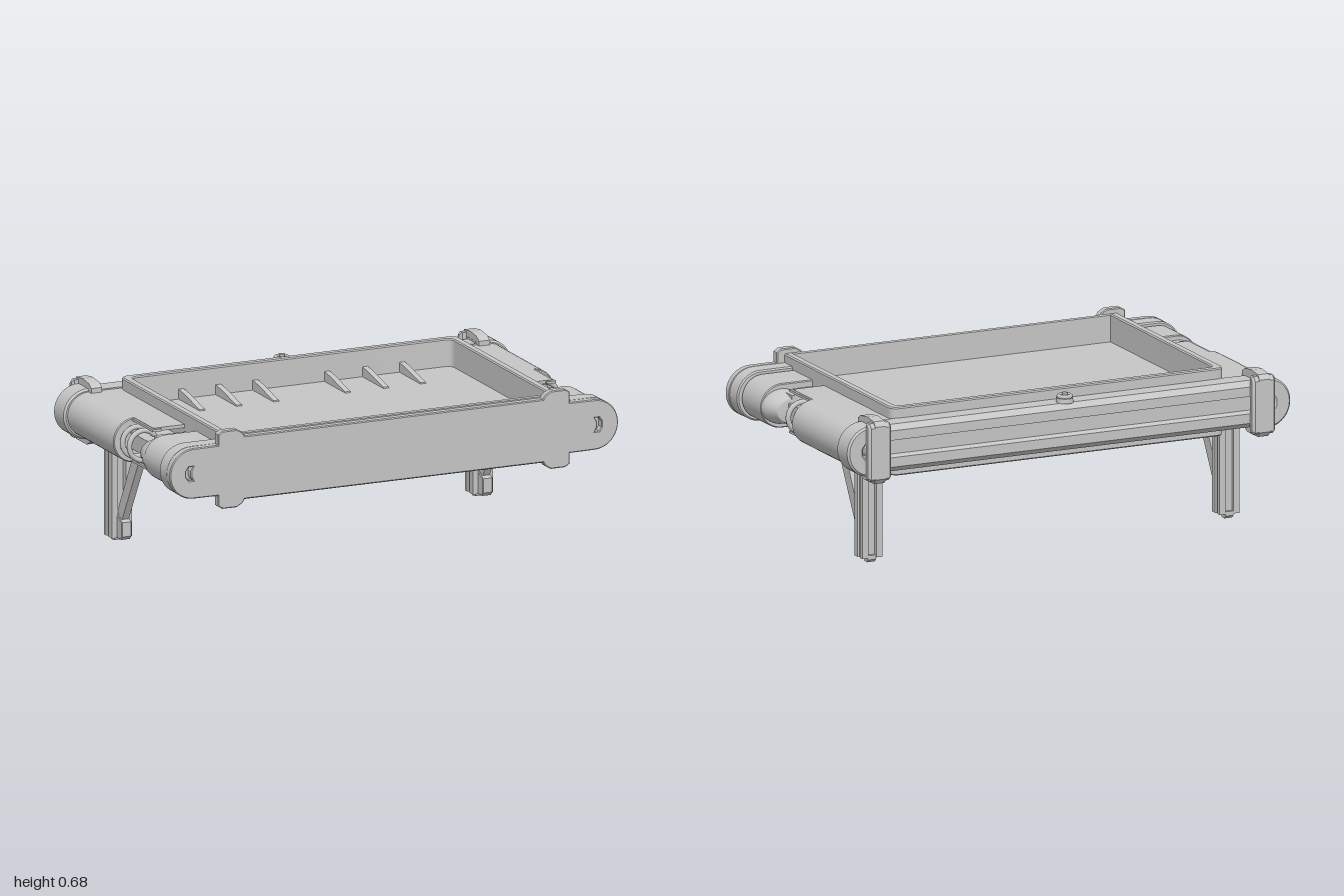
import * as THREE from 'three';
import { toCreasedNormals } from 'three/addons/utils/BufferGeometryUtils.js';

const CY = 0.512; // height of the side tubes' axis

export function createModel() {
  const model = new THREE.Group();
  const grey = new THREE.MeshStandardMaterial({ color: 0xc6c6c6 });
  grey.name = 'grey';

  const add = (name, geo, x = 0, y = 0, z = 0) => {
    const mesh = new THREE.Mesh(geo, grey);
    mesh.name = name;
    mesh.position.set(x, y, z);
    model.add(mesh);
    return mesh;
  };
  // box given by its limits on each axis
  const box = (name, x0, x1, y0, y1, z0, z1) =>
    add(name, new THREE.BoxGeometry(Math.abs(x1 - x0), y1 - y0, z1 - z0), (x0 + x1) / 2, (y0 + y1) / 2, (z0 + z1) / 2);
  // extrusion from depth a to b with inset bevel
  const extrude = (shape, a, b, bevel = 0) => {
    const geo = new THREE.ExtrudeGeometry(shape, {
      depth: b - a - 2 * bevel, bevelEnabled: bevel > 0, bevelSize: bevel, bevelThickness: bevel,
      bevelOffset: -bevel, bevelSegments: 1, curveSegments: 20,
    });
    geo.translate(0, 0, a + bevel);
    return toCreasedNormals(geo, 0.5);
  };
  const poly = (pts) => new THREE.Shape(pts.map(([x, y]) => new THREE.Vector2(x, y)));
  // outward half circle, from bottom to top
  const arc = (s, cx, r) => Array.from({ length: 25 }, (_, i) => {
    const t = -Math.PI / 2 + (Math.PI * i) / 24;
    return [s * (cx + r * Math.cos(t)), CY + r * Math.sin(t)];
  });
  // slot in the round ends
  const crescent = (s) => {
    const p = new THREE.Path();
    p.setFromPoints([[0.895, 0.03], [0.915, 0.028], [0.926, 0.013], [0.926, -0.013], [0.915, -0.028],
      [0.895, -0.03], [0.906, -0.012], [0.906, 0.012]].map(([x, y]) => new THREE.Vector2(s * x, CY + y)));
    return p;
  };
  // block with a flat inner side and a round outer side
  const roundBlock = (name, s, x0, cx, r, z0, z1, bevel, slot) => {
    const shape = poly([[s * x0, CY - r], ...arc(s, cx, r), [s * x0, CY + r]]);
    if (slot) shape.holes.push(crescent(s));
    return add(name, extrude(shape, z0, z1, bevel));
  };
  const roundRect = (x, y0, y1, r) => {
    const s = new THREE.Shape();
    s.moveTo(-x, y0).lineTo(x, y0).lineTo(x, y1 - r);
    s.quadraticCurveTo(x, y1, x - r, y1).lineTo(-x + r, y1);
    s.quadraticCurveTo(-x, y1, -x, y1 - r).lineTo(-x, y0);
    return s;
  };

  // front panel with round ends and four ears
  const ear = [[0.785, 0.106], [0.785, 0.15], [0.765, 0.163], [0.7, 0.163], [0.675, 0.148], [0.665, 0.132]];
  const rev = [...ear].reverse();
  const panel = poly([
    ...rev.map(([x, y]) => [x, CY - y]), ...arc(1, 0.895, 0.105), ...ear.map(([x, y]) => [x, CY + y]),
    ...rev.map(([x, y]) => [-x, CY + y]), ...arc(-1, 0.895, 0.105).reverse(), ...ear.map(([x, y]) => [-x, CY - y]),
  ]);
  panel.holes.push(crescent(1), crescent(-1));
  add('frontPanel', extrude(panel, 0.54, 0.575, 0.004));

  // tray walls and floor
  const walls = roundRect(0.75, -0.545, 0.445, 0.04);
  walls.holes.push(roundRect(0.715, -0.535, 0.41, 0.03));
  add('trayWalls', extrude(walls, 0.37, 0.654, 0.005).rotateX(-Math.PI / 2));
  box('trayFloor', -0.73, 0.73, 0.46, 0.538, -0.43, 0.542);

  // sloping ribs against the rear wall
  const rib = poly([[-0.415, 0.53], [-0.205, 0.53], [-0.21, 0.543], [-0.36, 0.573], [-0.415, 0.58]]);
  for (const x of [-0.49, -0.325, -0.16, 0.16, 0.33, 0.495])
    add('trayRib', extrude(rib, -0.012, 0.012).rotateY(-Math.PI / 2), x);

  // rear beam with a long groove
  const beam = poly([[0.44, 0.61], [0.52, 0.61], [0.543, 0.588], [0.543, 0.548], [0.515, 0.54], [0.515, 0.484],
    [0.543, 0.476], [0.543, 0.436], [0.52, 0.414], [0.44, 0.414]]);
  add('rearBeam', extrude(beam, -0.86, 0.86).rotateY(Math.PI / 2));

  // knob on the beam
  add('knobBase', new THREE.CylinderGeometry(0.034, 0.036, 0.02, 24), 0, 0.618, -0.5);
  add('knobRing', new THREE.TorusGeometry(0.024, 0.009, 10, 24).rotateX(Math.PI / 2), 0, 0.634, -0.5);
  add('knobCentre', new THREE.CylinderGeometry(0.011, 0.011, 0.03, 12), 0, 0.634, -0.5);
  add('knobPointer', new THREE.ConeGeometry(0.018, 0.03, 4).rotateX(Math.PI / 2), 0, 0.62, -0.462);

  // leg cross-section with grooves on all four sides
  const legHalf = [[0.018, 0.33], [0.018, 0.302], [0.045, 0.302], [0.045, 0.333], [0.038, 0.337],
    [0.038, 0.352], [0.045, 0.356], [0.045, 0.375], [0.018, 0.375], [0.018, 0.358]];
  const legSection = poly([...legHalf, ...[...legHalf].reverse().map(([x, y]) => [-x, y])]);

  for (const s of [1, -1]) {
    // side tube sections, rear to front
    roundBlock('rearCap', s, 0.84, 0.893, 0.105, -0.545, -0.44, 0.008, true);
    roundBlock('rearTube', s, 0.74, 0.89, 0.093, -0.45, 0, 0.004);
    roundBlock('frontTube', s, 0.74, 0.89, 0.092, 0.285, 0.462, 0.004);
    roundBlock('tubeNeck', s, 0.74, 0.885, 0.082, 0.45, 0.48, 0);
    roundBlock('frontCap', s, 0.74, 0.893, 0.105, 0.468, 0.545, 0.006);

    // flattened nose in front of the open section
    const nose = new THREE.LatheGeometry([[0, 0], [0.06, 0], [0.066, 0.008], [0.086, 0.065], [0.091, 0.08], [0.091, 0.105]]
      .map(([r, h]) => new THREE.Vector2(r, h)), 36).rotateX(Math.PI / 2).scale(1, 0.78, 1);
    add('nose', nose, s * 0.89, CY, 0.188);
    box('noseBlock', s * 0.74, s * 0.89, CY - 0.065, CY + 0.065, 0.188, 0.29);

    // open middle: core bar, cover plates and rings
    box('coreBar', s * 0.74, s * 0.905, CY - 0.034, CY + 0.034, -0.01, 0.2);
    for (const d of [-1, 1]) {
      const y = CY + d * 0.086;
      box('coverPlate', s * 0.74, s * 0.89, y - 0.007, y + 0.007, -0.01, 0.18);
      box('coverTab', s * 0.86, s * 0.9, y - 0.005, y + 0.005, 0, 0.195);
    }
    for (const z of [0.025, 0.09])
      add('ring', new THREE.TorusGeometry(0.062, 0.011, 10, 32), s * 0.893, CY, z);

    // rear clamp: broad plate and hooks over the beam
    const clamp = poly([[0.535, 0.39], [0.56, 0.39], [0.574, 0.402], [0.574, 0.615], [0.56, 0.634], [0.535, 0.634]]);
    add('clampPlate', extrude(clamp, -0.052, 0.052, 0.01).rotateY(Math.PI / 2), s * 0.865);
    const hooks = poly([[0.415, 0.6], [0.415, 0.625], [0.44, 0.64], [0.5, 0.647], [0.56, 0.64], [0.575, 0.62], [0.575, 0.4],
      [0.56, 0.38], [0.46, 0.38], [0.415, 0.405], [0.415, 0.42], [0.545, 0.42], [0.545, 0.6]]);
    add('clampHook', extrude(hooks, -0.024, 0.024).rotateY(Math.PI / 2), s * 0.865);

    // folding leg with foot
    add('leg', extrude(legSection, 0.02, 0.43).rotateX(-Math.PI / 2), s * 0.805);
    const tip = poly([[0.325, 0.03], [0.335, 0.003], [0.36, 0], [0.372, 0.012], [0.372, 0.03]]);
    add('legTip', extrude(tip, -0.018, 0.018).rotateY(Math.PI / 2), s * 0.805);
    const foot = poly([[0.255, 0.035], [0.268, 0.02], [0.335, 0.02], [0.335, 0.115], [0.3, 0.115], [0.255, 0.095]]);
    add('footBlock', extrude(foot, -0.022, 0.022, 0.003).rotateY(Math.PI / 2), s * 0.805);

    // diagonal brace
    const brace = poly([[0.085, 0.425], [0.15, 0.425], [0.31, 0.135], [0.3, 0.105], [0.268, 0.105]]);
    add('legBrace', extrude(brace, -0.015, 0.015).rotateY(Math.PI / 2), s * 0.805);
    box('braceMount', s * 0.805 - 0.03, s * 0.805 + 0.03, 0.408, 0.43, -0.16, -0.04);
  }
  return model;
}
